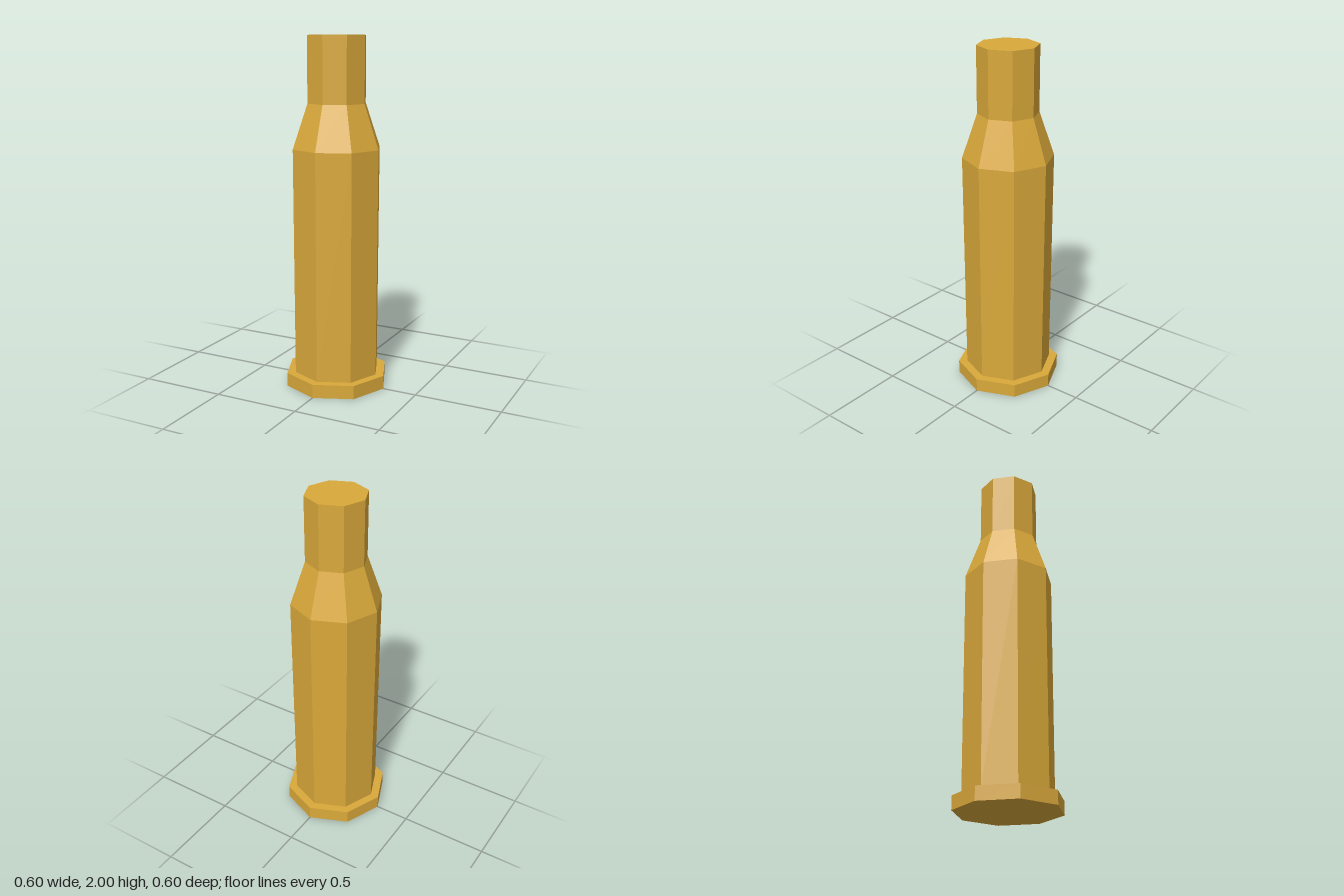
import * as THREE from 'three';

export function createModel() {
  const group = new THREE.Group();
  const brass = new THREE.MeshStandardMaterial({ color: 0xd9a83a, flatShading: true });
  brass.name = 'brass';

  // Stacked eight-sided section with a corner on each axis
  function section(name, bottomRadius, topRadius, bottom, top, openEnded) {
    const geometry = new THREE.CylinderGeometry(topRadius, bottomRadius, top - bottom, 8, 1, openEnded);
    const mesh = new THREE.Mesh(geometry, brass);
    mesh.name = name;
    mesh.position.y = (bottom + top) / 2;
    group.add(mesh);
  }

  section('baseRim', 0.301, 0.301, 0, 0.078, false);
  section('body', 0.251, 0.256, 0.078, 1.38, true);
  section('shoulder', 0.256, 0.17, 1.38, 1.63, true);
  section('neck', 0.17, 0.17, 1.63, 2, false);

  return group;
}
